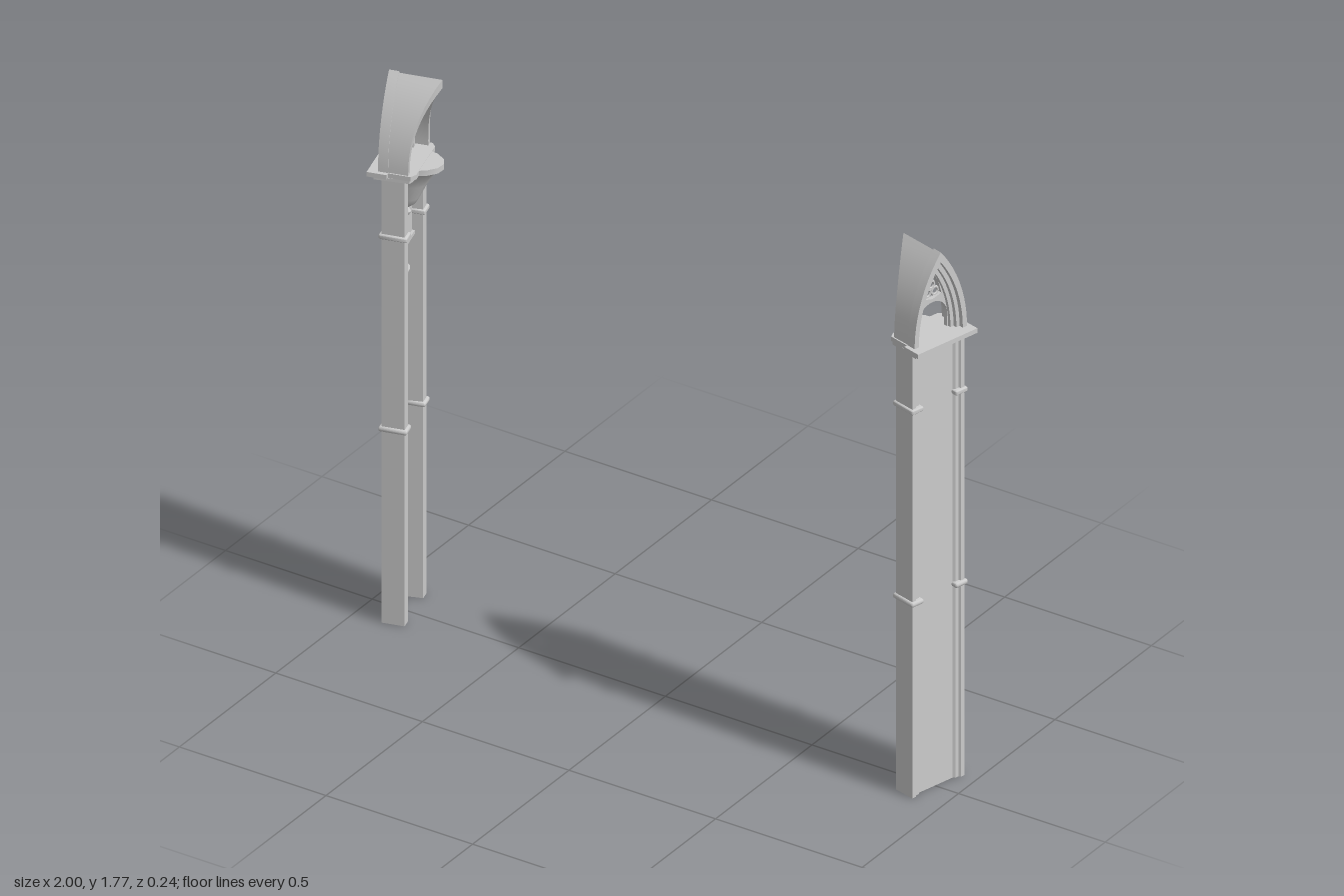
import * as THREE from 'three';
import { toCreasedNormals } from 'three/addons/utils/BufferGeometryUtils.js';
import { RoundedBoxGeometry } from 'three/addons/geometries/RoundedBoxGeometry.js';

// Pillar frame: x points outward, y up, z along the face; x = 0 is the outer edge of the capital.
const SPRING = 1.485;
const material = new THREE.MeshStandardMaterial({ color: 0xcccccc, side: THREE.DoubleSide });

// Pointed arch from +w over the apex to -w, as [z, y] pairs
function archPoints(w, h, n = 12) {
  const r = (w * w + h * h) / (2 * w), half = [];
  for (let i = 0; i <= n; i++) {
    const dy = h * i / n;
    half.push([Math.max(0, w - r + Math.sqrt(r * r - dy * dy)), SPRING + dy]);
  }
  return [...half, ...half.slice(0, -1).reverse().map(([z, y]) => [-z, y])];
}
const toVectors = pts => pts.map(([a, b]) => new THREE.Vector2(a, b));

// Plan outline (x, z) raised from y0 to y1
function plan(half, y0, y1) {
  const pts = [...half, ...half.slice().reverse().map(([x, z]) => [x, -z])];
  const g = new THREE.ExtrudeGeometry(new THREE.Shape(toVectors(pts)), { depth: y1 - y0, bevelEnabled: false });
  return g.rotateX(-Math.PI / 2).translate(0, y0, 0);
}

// Elevation outline (z, y) given thickness from x0 to x1
function elevation(pts, x0, x1, holes = []) {
  const shape = new THREE.Shape(toVectors(pts));
  holes.forEach(h => shape.holes.push(new THREE.Path(toVectors(h))));
  return new THREE.ExtrudeGeometry(shape, { depth: x1 - x0, bevelEnabled: false })
    .rotateY(Math.PI / 2).translate(x0, 0, 0);
}
const archRing = (w, h, wi, hi, x0, x1) =>
  elevation([...archPoints(w, h), ...archPoints(wi, hi).reverse()], x0, x1);

// Vault shell: arch cross-sections whose inward reach grows towards the ridge
function vault() {
  const outer = archPoints(0.098, 0.278), inner = archPoints(0.084, 0.25);
  const pos = [], index = [];
  outer.forEach(([z, y], i) => {
    const [zi, yi] = inner[i];
    const reach = -0.12 - 0.07 * Math.pow((y - SPRING) / 0.278, 2.5);
    pos.push(-0.045, y, z, reach, y, z, reach, yi, zi, -0.045, yi, zi);
    if (i === 0) return;
    for (let k = 0; k < 4; k++) {
      const a = (i - 1) * 4 + k, b = (i - 1) * 4 + (k + 1) % 4;
      index.push(a, a + 4, b, b, a + 4, b + 4);
    }
  });
  const g = new THREE.BufferGeometry();
  g.setAttribute('position', new THREE.Float32BufferAttribute(pos, 3));
  g.setIndex(index);
  return g;
}

// Plate with a round-headed opening below and a pierced pointed light above
function traceryPlate() {
  const opening = [[-0.056, SPRING]];
  for (let i = 0; i <= 16; i++) {
    const a = Math.PI * (1 - i / 16);
    opening.push([0.056 * Math.cos(a), 1.532 + 0.056 * Math.sin(a)]);
  }
  opening.push([0.056, SPRING]);
  const light = [[-0.034, 1.607], [0, 1.598], [0.034, 1.607], [0.022, 1.65], [0, 1.69], [-0.022, 1.65]];
  return elevation([...archPoints(0.075, 0.235), ...opening], -0.08, -0.066, [light]);
}

function corbel() {
  const profile = [[0, 1.29], [0.014, 1.3], [0.018, 1.312], [0.012, 1.325], [0.026, 1.34], [0.034, 1.36],
    [0.05, 1.41], [0.066, 1.45], [0.076, 1.462], [0.085, 1.468], [0.085, 1.486], [0, 1.486]];
  return new THREE.LatheGeometry(toVectors(profile), 8, Math.PI, Math.PI)
    .scale(1.47, 1, 0.85).translate(-0.07, 0, 0);
}

const box = (x0, x1, y0, y1, z) =>
  new THREE.BoxGeometry(x1 - x0, y1 - y0, z * 2).translate((x0 + x1) / 2, (y0 + y1) / 2, 0);

function buildPillar(side) {
  const pillar = new THREE.Group();
  pillar.name = side > 0 ? 'leftPillar' : 'rightPillar';
  const place = new THREE.Matrix4().makeScale(side, 1, 1)
    .multiply(new THREE.Matrix4().makeTranslation(0.97, 0, 0.01))
    .multiply(new THREE.Matrix4().makeRotationY(-Math.PI / 12));

  const add = (name, geometry) => {
    let g = geometry.index ? geometry.toNonIndexed() : geometry;
    g.deleteAttribute('uv');
    g.applyMatrix4(place);
    // Mirrored copies need their corner order reversed
    if (side < 0) {
      const p = g.attributes.position, a = new THREE.Vector3(), b = new THREE.Vector3();
      for (let i = 0; i < p.count; i += 3) {
        a.fromBufferAttribute(p, i + 1);
        b.fromBufferAttribute(p, i + 2);
        p.setXYZ(i + 1, b.x, b.y, b.z);
        p.setXYZ(i + 2, a.x, a.y, a.z);
      }
    }
    g = toCreasedNormals(g, 0.6);
    const mesh = new THREE.Mesh(g, material);
    mesh.name = name;
    pillar.add(mesh);
  };

  // Shaft: two side jambs joined by a recessed web
  add('shaft', plan([[-0.052, 0.064], [-0.046, 0.07], [-0.046, 0.082], [-0.04, 0.086], [-0.04, 0.1],
    [-0.11, 0.1], [-0.11, 0.068], [-0.064, 0.064]], 0, 1.468));
  for (const y of [0.64, 1.275]) {
    for (const z of [-0.084, 0.084]) {
      add('jambBand', new RoundedBoxGeometry(0.086, 0.016, 0.046, 2, 0.006).translate(-0.075, y, z));
    }
  }

  // Inner face: thicker upper panel with a ledge, small bracket and corbel
  add('upperPanel', box(-0.078, -0.06, 1.21, 1.468, 0.066));
  add('panelLedge', box(-0.086, -0.06, 1.2, 1.212, 0.066));
  add('bracket', new THREE.CylinderGeometry(0.04, 0.034, 0.014, 10, 1, false, Math.PI, Math.PI)
    .scale(0.7, 1, 1).translate(-0.063, 1.11, 0));
  add('corbel', corbel());

  // Capital
  const capitalPlan = [[0, 0.113], [-0.06, 0.113], [-0.06, 0.102], [-0.128, 0.102], [-0.14, 0.085]];
  add('capitalSlab', plan(capitalPlan, 1.472, 1.487));
  add('capitalMoulding', plan([[-0.018, 0.106], [-0.124, 0.1], [-0.13, 0.085]], 1.462, 1.472));

  // Pointed arch, vault and tracery
  add('archFrame', archRing(0.1, 0.283, 0.084, 0.25, -0.06, -0.03));
  add('archInnerMoulding', archRing(0.086, 0.254, 0.072, 0.226, -0.07, -0.044));
  add('archReveal', archRing(0.074, 0.23, 0.06, 0.205, -0.084, -0.056));
  add('vault', vault());
  add('traceryPlate', traceryPlate());
  for (const [z, y] of [[-0.014, 1.619], [0.014, 1.619], [0, 1.643]]) {
    add('traceryRing', new THREE.TorusGeometry(0.012, 0.004, 6, 12).rotateY(Math.PI / 2).translate(-0.073, y, z));
  }
  return pillar;
}

export function createModel() {
  const model = new THREE.Group();
  model.name = 'archedPillars';
  for (const side of [1, -1]) model.add(buildPillar(side));
  return model;
}
